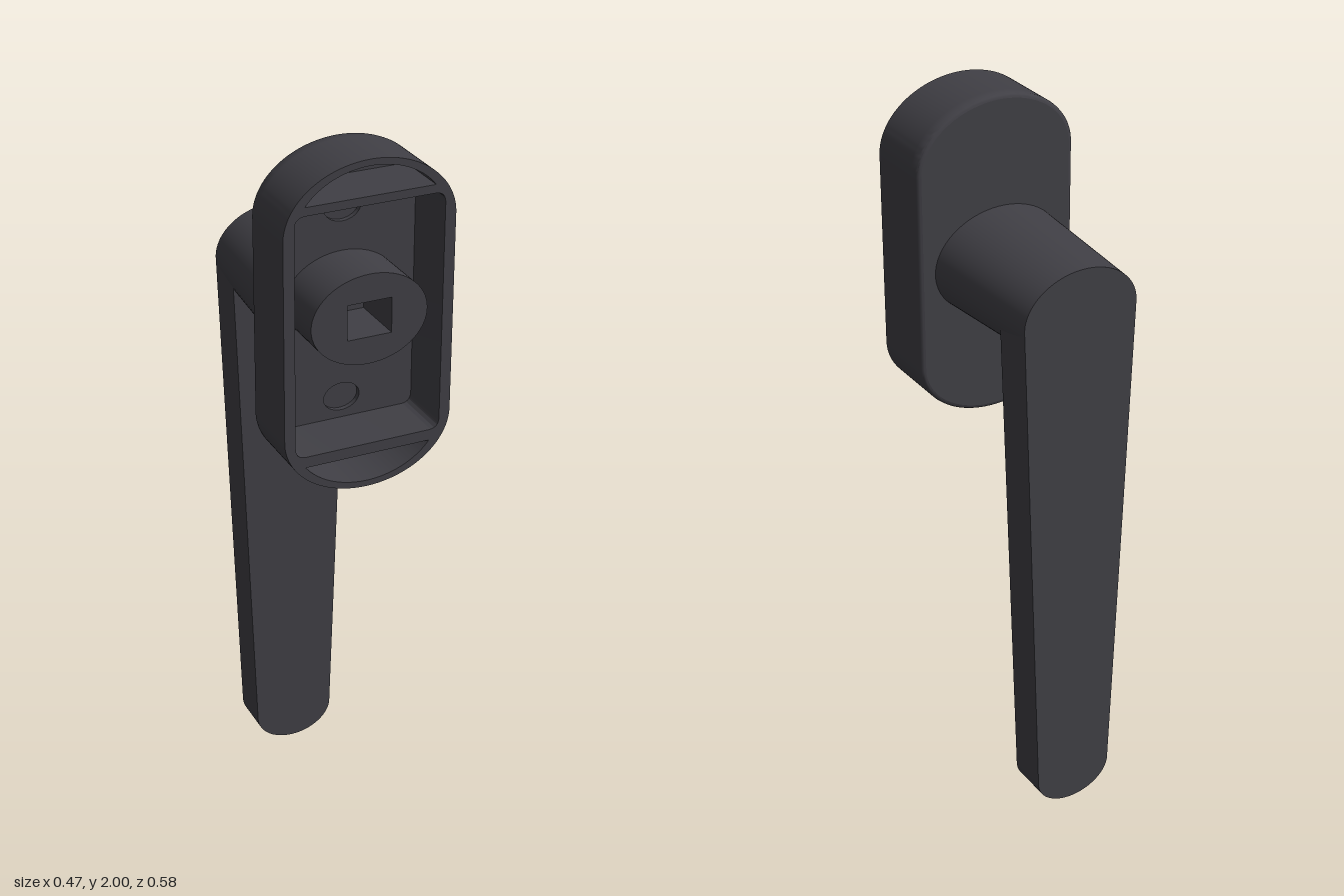
import * as THREE from 'three';
import { toCreasedNormals } from 'three/addons/utils/BufferGeometryUtils.js';

const MID = 1.5525;      // centre height of the rosette
const FRONT = 0.29, FLOOR = 0.13, BACK = 0.097;
const STEM_X = -0.006, STEM_Y = 1.548;

// Rosette outline: straight sides with elliptical ends, optionally inset
function rosetteShape(inset = 0) {
  const a = 0.233 - inset, b = 0.177 - inset, h = 0.27;
  const s = new THREE.Shape();
  s.absellipse(0, MID + h, a, b, 0, Math.PI, false, 0);
  s.absellipse(0, MID - h, a, b, Math.PI, Math.PI * 2, false, 0);
  s.closePath();
  return s;
}

function ellipsePath(x, y, a, b, Type = THREE.Path) {
  const p = new Type();
  p.absellipse(x, y, a, b, 0, Math.PI * 2, false, 0);
  return p;
}

function rectPath(x0, y0, x1, y1, r) {
  const p = new THREE.Path();
  p.moveTo(x0 + r, y0);
  p.lineTo(x1 - r, y0).quadraticCurveTo(x1, y0, x1, y0 + r);
  p.lineTo(x1, y1 - r).quadraticCurveTo(x1, y1, x1 - r, y1);
  p.lineTo(x0 + r, y1).quadraticCurveTo(x0, y1, x0, y1 - r);
  p.lineTo(x0, y0 + r).quadraticCurveTo(x0, y0, x0 + r, y0);
  return p;
}

// Crescent pocket at the upper (dir 1) or lower (dir -1) end
function endPocket(dir) {
  const t = Math.asin(0.083 / 0.16);
  const start = dir > 0 ? t : Math.PI + t;
  const p = new THREE.Path();
  p.absellipse(0, MID + dir * 0.27, 0.205, 0.16, start, start + Math.PI - 2 * t, false, 0);
  p.closePath();
  return p;
}

function extrude(shape, z0, z1) {
  const g = new THREE.ExtrudeGeometry(shape, { depth: z1 - z0, bevelEnabled: false, curveSegments: 32 });
  g.translate(0, 0, z0);
  return toCreasedNormals(g, 0.5);
}

// Joins equal-length outlines, each at its own z, ordered front to back
function loft(rings) {
  const n = rings[0].pts.length, pos = [], idx = [];
  for (const { pts, z } of rings) for (const p of pts) pos.push(p.x, p.y, z);
  for (let r = 0; r < rings.length - 1; r++) {
    for (let i = 0; i < n; i++) {
      const j = (i + 1) % n, f = r * n, k = f + n;
      idx.push(f + i, k + i, k + j, f + i, k + j, f + j);
    }
  }
  const g = new THREE.BufferGeometry();
  g.setAttribute('position', new THREE.Float32BufferAttribute(pos, 3));
  g.setIndex(idx);
  return toCreasedNormals(g, 0.6);
}

export function createModel() {
  const model = new THREE.Group();
  model.name = 'windowHandle';
  const charcoal = new THREE.MeshStandardMaterial({ color: 0x403f45 });
  charcoal.name = 'charcoal';

  const add = (name, geometry) => {
    const mesh = new THREE.Mesh(geometry, charcoal);
    mesh.name = name;
    model.add(mesh);
    return mesh;
  };

  // Rosette rim with main recess and end pockets
  const rim = rosetteShape();
  rim.holes.push(rectPath(-0.203, 1.23, 0.203, 1.883, 0.03), endPocket(1), endPocket(-1));
  add('rosetteRim', extrude(rim, FLOOR, FRONT));

  // Rounded back of the rosette
  const rings = [{ inset: 0, z: FLOOR }];
  for (let i = 0; i <= 4; i++) {
    const t = (i / 4) * Math.PI / 2;
    rings.push({ inset: 0.012 * (1 - Math.cos(t)), z: BACK + 0.012 * (1 - Math.sin(t)) });
  }
  add('rosetteBackEdge', loft(rings.map(({ inset, z }) => {
    const pts = rosetteShape(inset).getPoints(32);
    return { z, pts: pts.filter((p, i) => i === 0 || p.distanceTo(pts[i - 1]) > 1e-5)
      .filter((p, i, all) => i === 0 || p.distanceTo(all[0]) > 1e-5) };
  })));
  const backFace = new THREE.ShapeGeometry(rosetteShape(0.012), 32);
  backFace.rotateY(Math.PI);
  backFace.translate(0, 0, BACK);
  add('rosetteBackFace', backFace);

  // Recess floor with two blind screw holes
  const floor = rosetteShape(0.008);
  for (const y of [1.29, 1.82]) floor.holes.push(ellipsePath(0, y, 0.051, 0.039));
  add('recessFloor', extrude(floor, FLOOR - 0.015, FLOOR));
  for (const y of [1.29, 1.82]) {
    const seat = new THREE.ShapeGeometry(ellipsePath(0, y, 0.055, 0.043, THREE.Shape), 32);
    seat.translate(0, 0, FLOOR - 0.014);
    add('screwSeat', seat);
  }

  // Spindle boss with square socket
  const boss = ellipsePath(0, 1.58, 0.16, 0.122, THREE.Shape);
  boss.holes.push(rectPath(-0.061, 1.532, 0.061, 1.628, 0));
  add('spindleBoss', extrude(boss, FLOOR, FRONT));

  // Tapered oval neck
  const neck = new THREE.CylinderGeometry(0.193, 0.167, 0.39, 64, 1, true);
  neck.rotateX(Math.PI / 2);
  neck.scale(1, 0.766, 1);
  neck.translate(STEM_X, STEM_Y, -0.095);
  add('neck', neck);

  // Flat tapered grip, rounded at both ends
  const grip = new THREE.Shape();
  grip.absellipse(STEM_X, STEM_Y, 0.167, 0.128, 0, Math.PI, false, 0);
  grip.absellipse(STEM_X, 0.092, 0.117, 0.092, Math.PI, Math.PI * 2, false, 0);
  grip.closePath();
  add('grip', extrude(grip, -0.29, -0.175));

  return model;
}
